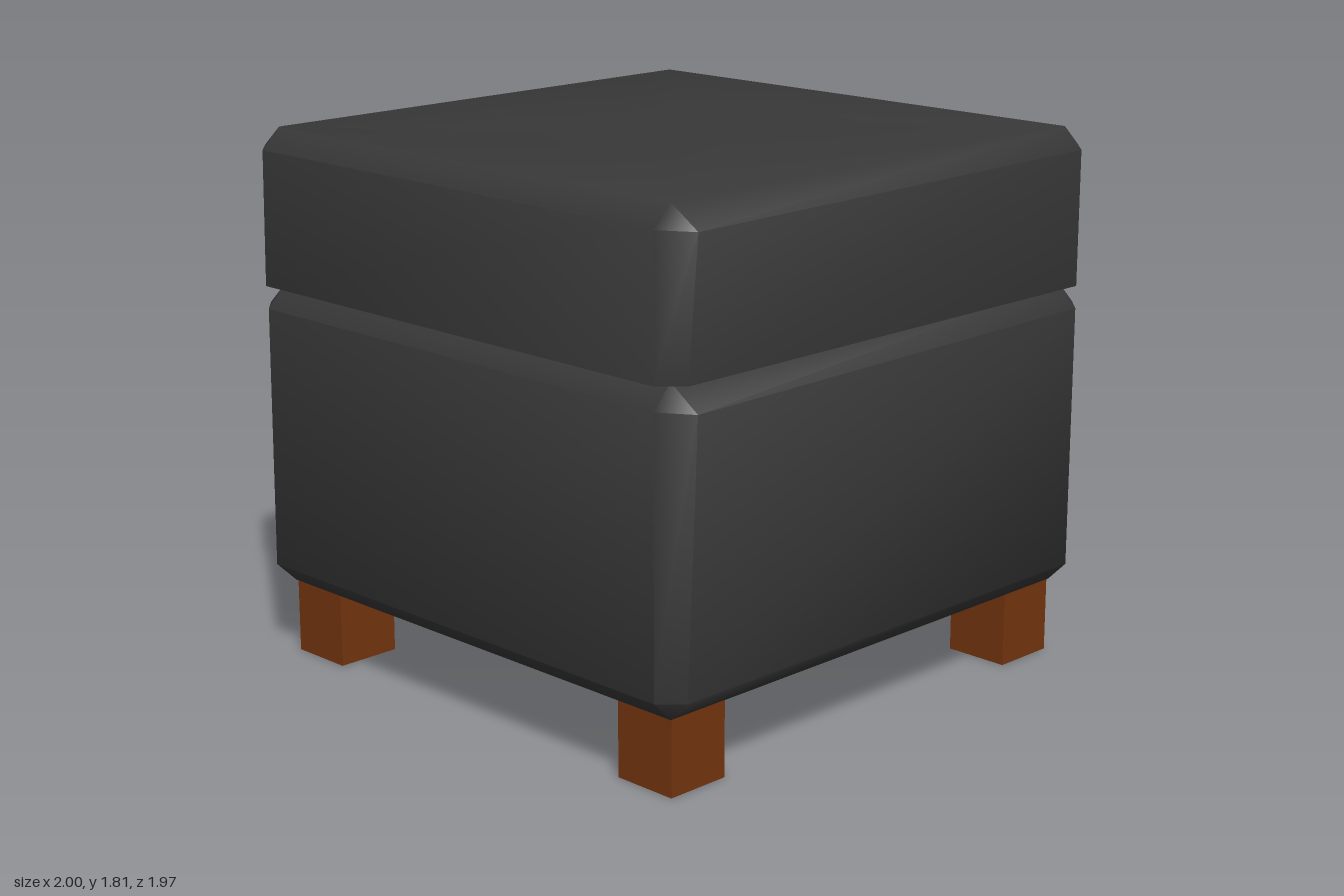
import * as THREE from 'three';
import { toCreasedNormals } from 'three/addons/utils/BufferGeometryUtils.js';

// Skin stacked rings of [x, y, z] points, listed bottom to top, with capped ends.
function loft(rings) {
  const pos = [];
  const A = new THREE.Vector3(), B = new THREE.Vector3(), C = new THREE.Vector3();
  const tri = (a, b, c) => {
    A.set(...a); B.set(...b); C.set(...c);
    const area = B.clone().sub(A).cross(C.clone().sub(A)).length();
    if (area > 1e-7) pos.push(...a, ...b, ...c);
  };
  const middle = (ring) => [0, 1, 2].map((k) => ring.reduce((s, p) => s + p[k], 0) / ring.length);
  const n = rings[0].length;
  const last = rings[rings.length - 1];
  const low = middle(rings[0]), high = middle(last);
  for (let i = 0; i < n; i++) {
    const j = (i + 1) % n;
    tri(rings[0][j], rings[0][i], low);
    tri(last[i], last[j], high);
    for (let r = 0; r < rings.length - 1; r++) {
      const a = rings[r], b = rings[r + 1];
      tri(a[i], a[j], b[j]);
      tri(a[i], b[j], b[i]);
    }
  }
  const g = new THREE.BufferGeometry();
  g.setAttribute('position', new THREE.Float32BufferAttribute(pos, 3));
  return toCreasedNormals(g, 0.9);
}

const at = (points, y) => points.map(([x, z]) => [x, y, z]);

// Corner-cut outline; the upper one swells at two corners.
const outline = (frontX, backZ, leftX) => [
  [leftX, 0.98], [0.89, 0.98], [frontX, 0.91], [0.96, -0.91],
  [0.89, backZ], [leftX, -0.965], [-1, -0.89], [-1, 0.91],
];
const lowerOutline = outline(0.96, -0.96, -0.93);
const upperOutline = outline(1, -0.985, -0.92);

// Flat rectangle inside the bevel, matched point for point to the outline.
const flat = [
  [-0.92, 0.91], [0.89, 0.91], [0.89, 0.91], [0.89, -0.91],
  [0.89, -0.91], [-0.92, -0.89], [-0.92, -0.89], [-0.92, 0.91],
];

// Shallow star-shaped dimple in the seat.
const dimple = [
  [0, 0.2], [0.33, 0.32], [0.2, 0], [0.42, -0.43],
  [0, -0.25], [-0.33, -0.35], [-0.22, 0], [-0.5, 0.5],
];

export function createModel() {
  const group = new THREE.Group();
  const leather = new THREE.MeshStandardMaterial({ color: 0x383838 });
  leather.name = 'dark leather';
  const wood = new THREE.MeshStandardMaterial({ color: 0x75350f });
  wood.name = 'brown wood';

  const add = (name, geometry, material) => {
    const mesh = new THREE.Mesh(geometry, material);
    mesh.name = name;
    group.add(mesh);
    return mesh;
  };

  // Storage body, bevelled at top and bottom
  add('body', loft([
    at(flat, 0.25), at(lowerOutline, 0.32), at(upperOutline, 1.21), at(flat, 1.285),
  ]), leather);

  // Cushioned lid, square below and bevelled above
  const seat = at(dimple, 1.805);
  add('lid', loft([
    at(lowerOutline, 1.286), at(upperOutline, 1.74), at(flat, 1.81), seat,
  ]), leather);

  // Four square legs
  for (const [side, x] of [['Left', 0.777], ['Right', -0.795]]) {
    for (const [end, z] of [['front', 0.795], ['back', -0.785]]) {
      const leg = add(`${end}${side}Leg`, new THREE.BoxGeometry(0.228, 0.27, 0.228), wood);
      leg.position.set(x, 0.135, z);
    }
  }
  return group;
}
